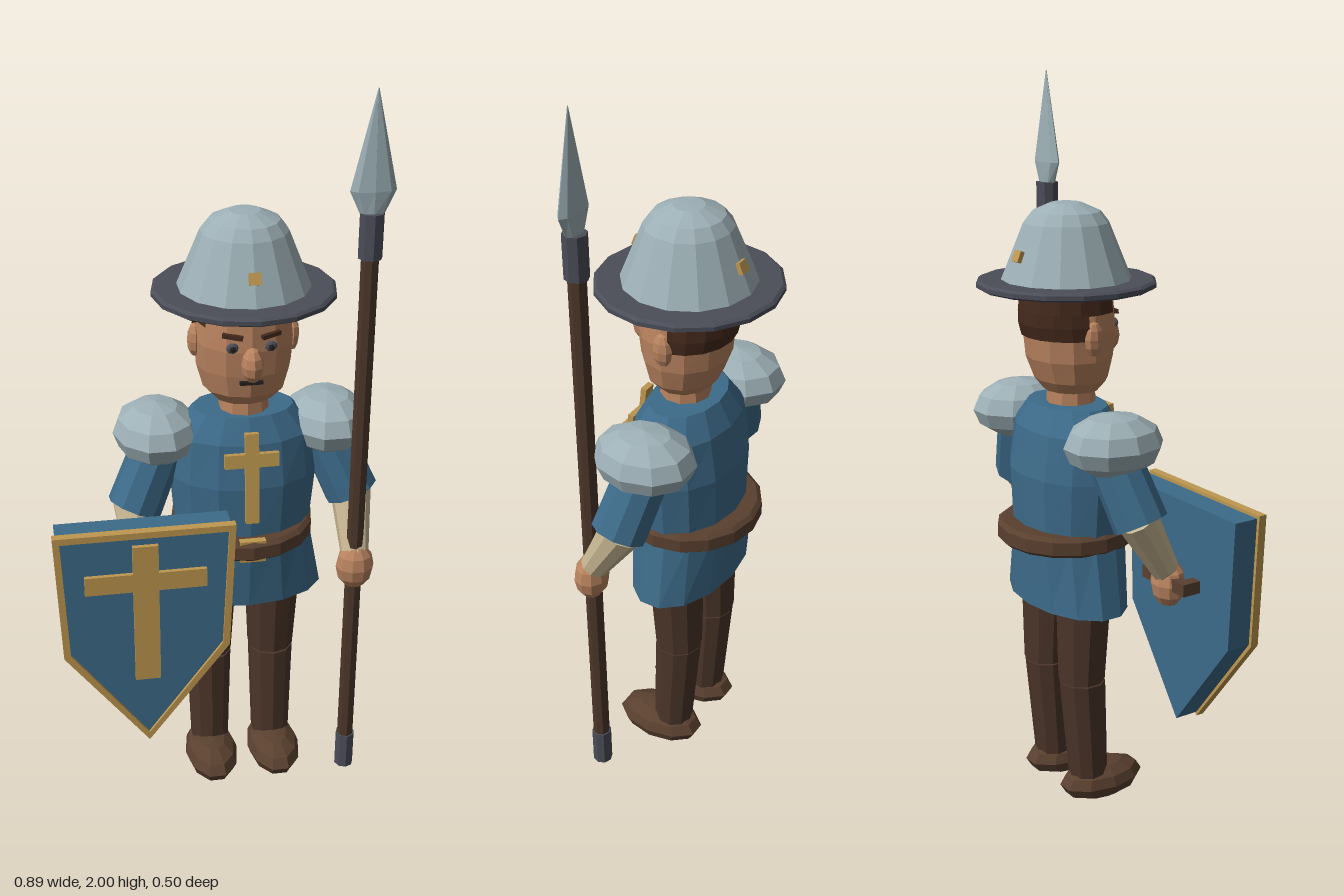
import * as THREE from 'three';

const mat = (name, color, side = THREE.FrontSide) => {
  const m = new THREE.MeshStandardMaterial({ color, flatShading: true, side });
  m.name = name;
  return m;
};

export function createModel() {
  const blue = mat('blue cloth', 0x3d6b8a);
  const steel = mat('steel', 0x9db0b6, THREE.DoubleSide);
  const iron = mat('dark iron', 0x4b4d58);
  const gold = mat('gold', 0xbf9850);
  const trouser = mat('dark brown cloth', 0x4b3529);
  const leather = mat('leather', 0x59402f);
  const skin = mat('skin', 0xb9835f);
  const linen = mat('linen', 0xc9b894);
  const hairMat = mat('hair', 0x44291c, THREE.DoubleSide);
  const black = mat('near black', 0x25201f);

  const model = new THREE.Group();
  const body = new THREE.Group(); // everything symmetric about the man's axis
  body.name = 'body';
  body.position.x = 0.08;
  model.add(body);

  const add = (parent, name, geo, material, x = 0, y = 0, z = 0) => {
    const m = new THREE.Mesh(geo, material);
    m.name = name;
    m.position.set(x, y, z);
    parent.add(m);
    return m;
  };
  const box = (parent, name, w, h, d, material, x, y, z) =>
    add(parent, name, new THREE.BoxGeometry(w, h, d), material, x, y, z);
  const ball = (parent, name, rx, ry, rz, material, x, y, z, seg = 10, rows = 6) => {
    const m = add(parent, name, new THREE.SphereGeometry(1, seg, rows), material, x, y, z);
    m.scale.set(rx, ry, rz);
    return m;
  };
  // Oval cross-sections from top to bottom: [y, rx, rz, centre z]
  const loft = (parent, name, rows, seg, material, open = false, start = 0, len = Math.PI * 2) => {
    const g = new THREE.CylinderGeometry(1, 1, 1, seg, rows.length - 1, open, start, len);
    const p = g.attributes.position;
    for (let i = 0; i < p.count; i++) {
      const [y, rx, rz, cz = 0] = rows[Math.round((0.5 - p.getY(i)) * (rows.length - 1))];
      p.setXYZ(i, p.getX(i) * rx, y, p.getZ(i) * rz + cz);
    }
    g.computeVertexNormals();
    return add(parent, name, g, material);
  };
  // Tapered tube between two points
  const limb = (parent, name, a, b, ra, rb, material, seg = 10) => {
    const A = new THREE.Vector3(...a), B = new THREE.Vector3(...b);
    const dir = A.clone().sub(B);
    const m = add(parent, name, new THREE.CylinderGeometry(ra, rb, dir.length(), seg), material);
    m.position.copy(A).add(B).multiplyScalar(0.5);
    m.quaternion.setFromUnitVectors(new THREE.Vector3(0, 1, 0), dir.normalize());
    return m;
  };

  // Tunic, belt and chest cross
  loft(body, 'tunic', [
    [1.155, 0.135, 0.09, -0.01], [1.09, 0.19, 0.125, -0.01], [0.97, 0.2, 0.145, -0.01],
    [0.8, 0.185, 0.14, -0.01], [0.6, 0.225, 0.13, -0.015],
  ], 14, blue);
  loft(body, 'belt', [
    [0.828, 0.182, 0.178, -0.015], [0.818, 0.194, 0.19, -0.015],
    [0.782, 0.194, 0.19, -0.015], [0.772, 0.182, 0.178, -0.015],
  ], 16, leather);
  box(body, 'buckle', 0.07, 0.062, 0.02, gold, 0, 0.8, 0.153);
  limb(body, 'neck', [0, 1.22, 0], [0, 1.13, 0], 0.062, 0.068, skin);
  box(body, 'chestCrossUpright', 0.036, 0.25, 0.016, gold, 0, 1.005, 0.132).rotation.x = -0.11;
  box(body, 'chestCrossBar', 0.143, 0.037, 0.016, gold, 0, 1.056, 0.127).rotation.x = -0.11;

  // Head and face
  loft(body, 'head', [
    [1.48, 0.112, 0.105, -0.005], [1.43, 0.12, 0.115, -0.005], [1.35, 0.13, 0.12, -0.005],
    [1.28, 0.125, 0.113, -0.005], [1.22, 0.108, 0.095, 0], [1.19, 0.08, 0.072, 0],
  ], 12, skin);
  const hairArc = (deg) => [deg * Math.PI / 180, (360 - 2 * deg) * Math.PI / 180];
  loft(body, 'upperHair', [[1.48, 0.12, 0.125, -0.01], [1.405, 0.13, 0.132, -0.01]],
    10, hairMat, true, ...hairArc(58));
  loft(body, 'backHair', [[1.41, 0.13, 0.132, -0.01], [1.375, 0.134, 0.132, -0.01], [1.34, 0.132, 0.122, -0.01]],
    8, hairMat, true, ...hairArc(98));
  ball(body, 'nose', 0.029, 0.047, 0.036, skin, 0, 1.32, 0.118, 8, 6);
  box(body, 'mouth', 0.06, 0.009, 0.01, black, 0, 1.267, 0.108);
  for (const s of [-1, 1]) {
    ball(body, 'ear', 0.02, 0.046, 0.028, skin, s * 0.127, 1.345, -0.012, 8, 6);
    ball(body, 'eye', 0.016, 0.014, 0.01, iron, s * 0.049, 1.363, 0.104, 8, 6);
    ball(body, 'pupil', 0.008, 0.008, 0.006, black, s * 0.049, 1.363, 0.111, 8, 4);
    const brow = box(body, 'eyebrow', 0.052, 0.011, 0.012, hairMat, s * 0.049, 1.394, 0.105);
    brow.rotation.set(0, s * 0.35, s * 0.1);
  }

  // Kettle helmet
  const helmet = new THREE.Group();
  helmet.name = 'helmet';
  helmet.position.z = -0.013;
  body.add(helmet);
  const bell = [[0.183, 1.462], [0.172, 1.485], [0.112, 1.632], [0.09, 1.66], [0.04, 1.682], [0, 1.684]];
  add(helmet, 'helmetBell', new THREE.LatheGeometry(bell.map((p) => new THREE.Vector2(...p)), 14), steel);
  const brim = [[0.17, 1.466], [0.23, 1.464], [0.238, 1.469], [0.238, 1.48], [0.23, 1.486], [0.16, 1.486]];
  add(helmet, 'helmetBrim', new THREE.LatheGeometry(brim.map((p) => new THREE.Vector2(...p)), 16), iron);
  for (const s of [-1, 1]) {
    box(helmet, 'helmetRivet', 0.03, 0.03, 0.02, gold, 0, 1.553, s * 0.143).rotation.x = -s * 0.39;
  }

  // Arms and legs, mirrored
  for (const s of [-1, 1]) {
    const side = s > 0 ? 'left' : 'right';
    ball(body, side + 'Pauldron', 0.115, 0.083, 0.138, steel, s * 0.23, 1.09, -0.02, 10, 6);
    limb(body, side + 'Sleeve', [s * 0.215, 1.07, -0.02], [s * 0.297, 0.885, 0.02], 0.07, 0.074, blue);
    limb(body, side + 'Forearm', [s * 0.297, 0.905, 0.005], [s * 0.292, 0.735, 0.108], 0.058, 0.038, linen);
    ball(body, side + 'Hand', 0.053, 0.068, 0.045, skin, s * 0.292, 0.702, 0.115, 10, 6);

    loft(body, side + 'Thigh', [[0.66, 0.08, 0.075, -0.02], [0.38, 0.065, 0.064, -0.027]], 10, trouser)
      .position.x = s * 0.09;
    loft(body, side + 'Shin', [[0.375, 0.064, 0.064, -0.025], [0.06, 0.054, 0.054, -0.004]], 10, trouser)
      .position.x = s * 0.09;
    ball(body, side + 'Shoe', 0.076, 0.055, 0.13, leather, s * 0.092, 0.055, 0.038, 10, 6);
  }

  // Spear in the left hand
  const spear = new THREE.Group();
  spear.name = 'spear';
  spear.position.set(0.37, 0, 0.113);
  model.add(spear);
  limb(spear, 'shaft', [0, 1.62, 0], [0, 0.04, 0], 0.023, 0.023, trouser, 8);
  limb(spear, 'buttCap', [0, 0.13, 0], [0, 0.02, 0], 0.027, 0.027, iron, 8);
  limb(spear, 'socket', [0, 1.7, 0], [0, 1.585, 0], 0.031, 0.031, iron, 8);
  loft(spear, 'blade', [[2, 0.001, 0.001], [1.755, 0.058, 0.02], [1.695, 0.03, 0.016]], 8, steel);

  // Shield with a raised rim, cross and grip
  const shield = new THREE.Group();
  shield.name = 'shield';
  shield.position.x = -0.215;
  model.add(shield);
  const outline = (inset, Kind) => new Kind([
    [-0.235 + inset, 0.935 - inset], [-0.22 + inset, 0.57 + inset * 0.4], [0, 0.28 + inset * 1.3],
    [0.22 - inset, 0.57 + inset * 0.4], [0.235 - inset, 0.935 - inset],
  ].map((p) => new THREE.Vector2(...p)));
  const plate = (depth, shape) => new THREE.ExtrudeGeometry(shape, { depth, bevelEnabled: false });
  add(shield, 'shieldBoard', plate(0.085, outline(0.009, THREE.Shape)), blue, 0, 0, 0.15);
  const rim = outline(0, THREE.Shape);
  rim.holes.push(outline(0.018, THREE.Path));
  add(shield, 'shieldRim', plate(0.023, rim), gold, 0, 0, 0.22);
  box(shield, 'shieldCrossUpright', 0.067, 0.41, 0.014, gold, 0, 0.69, 0.24);
  box(shield, 'shieldCrossBar', 0.317, 0.053, 0.014, gold, 0, 0.788, 0.2395);
  box(shield, 'shieldGrip', 0.18, 0.034, 0.03, leather, 0, 0.71, 0.11);
  for (const s of [-1, 1]) box(shield, 'gripMount', 0.03, 0.034, 0.05, leather, s * 0.075, 0.71, 0.135);

  return model;
}
